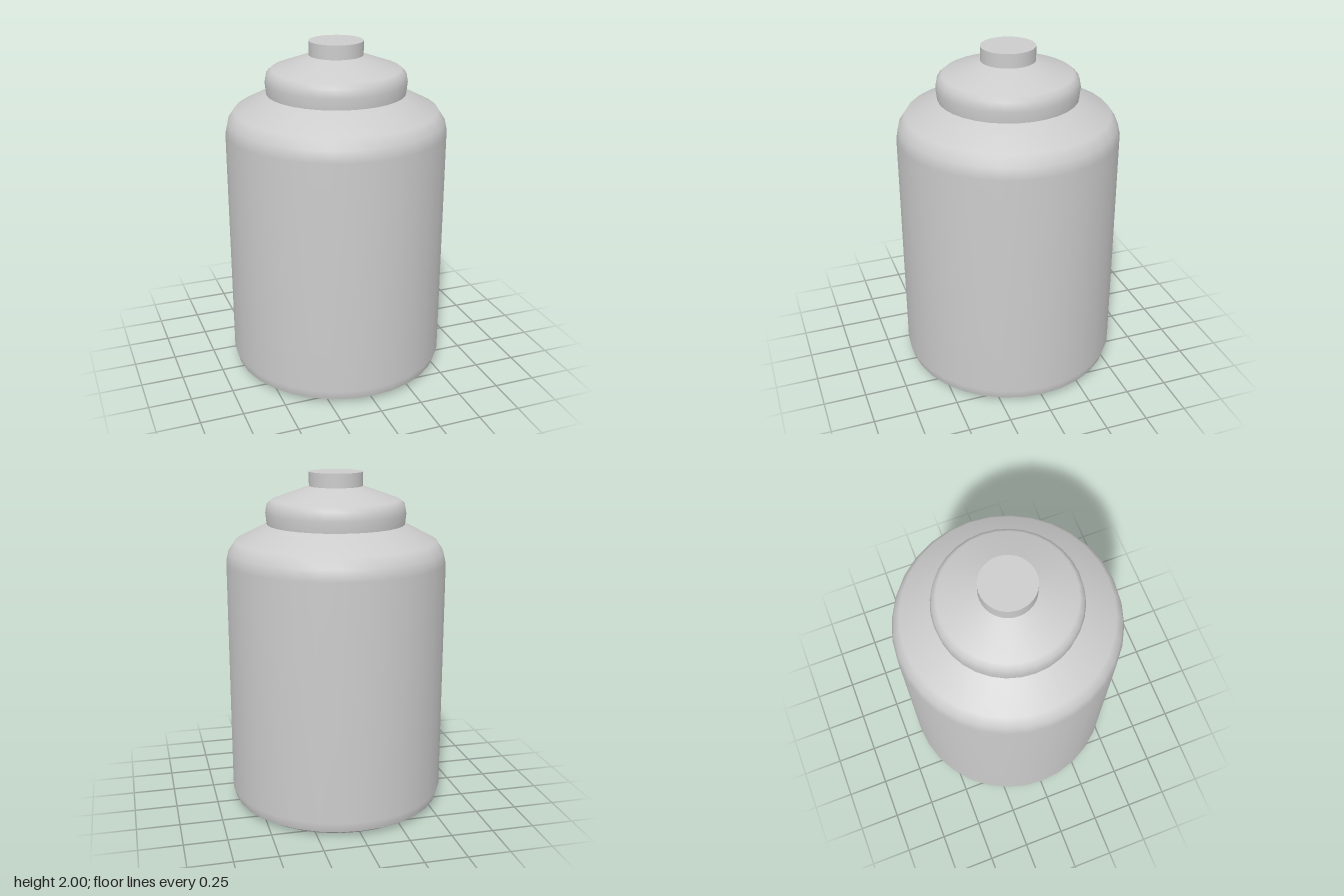
import * as THREE from 'three';

const SIDES = 32;

export function createModel() {
  const group = new THREE.Group();
  const material = new THREE.MeshStandardMaterial({ color: 0xcccccc });

  // Turned part from [radius, height] pairs, bottom to top; smooth within each part
  function turned(name, profile) {
    const points = profile.map(([r, y]) => new THREE.Vector2(r, y));
    const mesh = new THREE.Mesh(new THREE.LatheGeometry(points, SIDES), material);
    mesh.name = name;
    group.add(mesh);
  }

  // Closed underside with a shallow bevel
  turned('base', [[0, 0], [0.583, 0], [0.63, 0.03]]);

  // Straight wall rounding into the sloped shoulder
  turned('body', [
    [0.63, 0.03], [0.647, 0.09], [0.647, 1.48], [0.632, 1.545], [0.592, 1.605], [0.405, 1.7],
  ]);

  // Slightly bulging lid with a conical top
  turned('lid', [
    [0.405, 1.7], [0.412, 1.765], [0.403, 1.815], [0.375, 1.84], [0.157, 1.918],
  ]);

  // Small solid knob
  const knob = new THREE.Mesh(new THREE.CylinderGeometry(0.157, 0.157, 0.085, SIDES), material);
  knob.name = 'knob';
  knob.position.y = 2 - 0.085 / 2;
  group.add(knob);

  return group;
}
